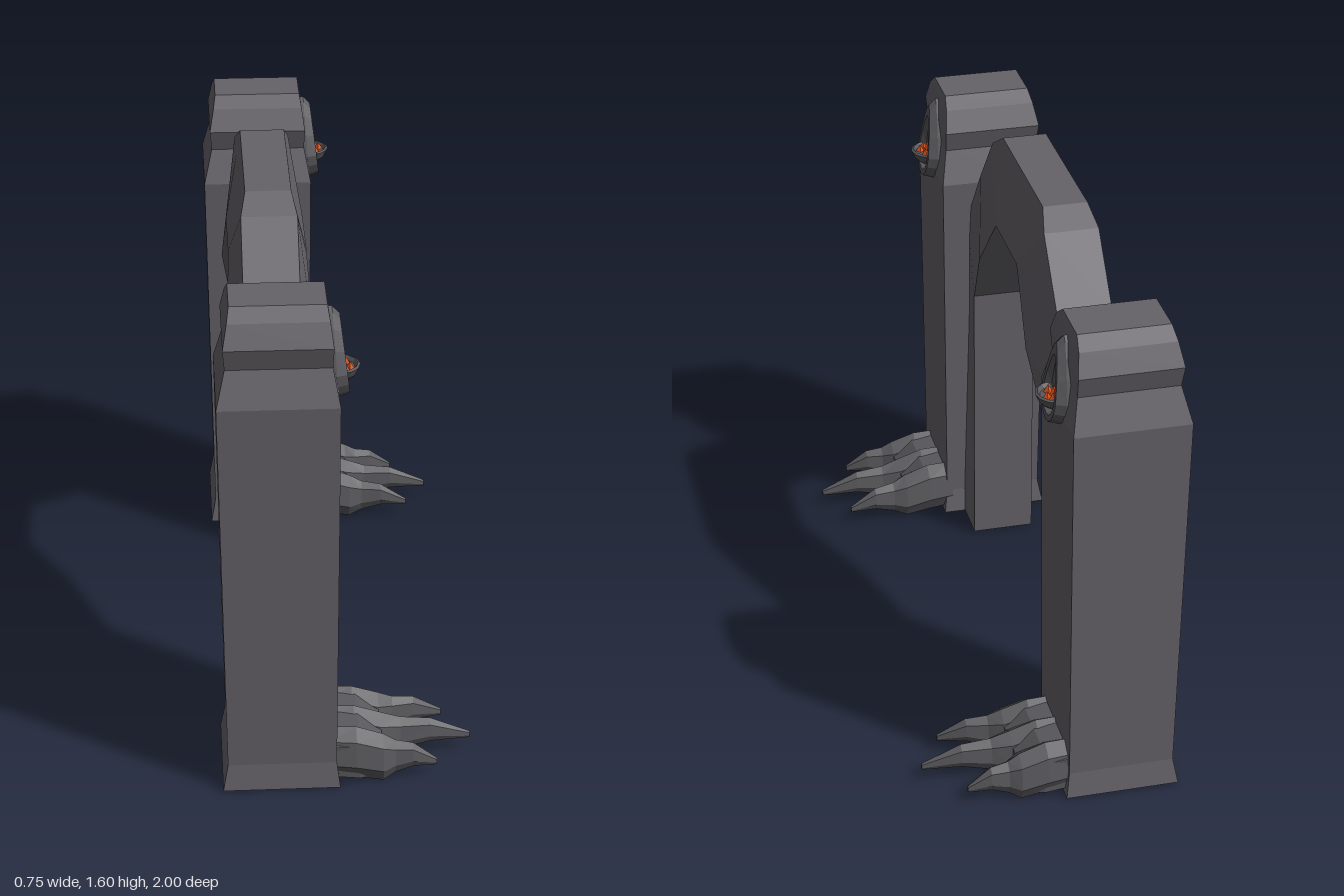
import * as THREE from 'three';

const V = (x, y, z) => new THREE.Vector3(x, y, z);

// Closed solid through cross-section loops; winding is corrected so faces point outward.
function loft(sections) {
  const tris = [];
  const n = sections[0].length;
  for (let i = 0; i < sections.length - 1; i++) {
    const a = sections[i], b = sections[i + 1];
    for (let j = 0; j < n; j++) {
      const k = (j + 1) % n;
      tris.push([a[j], a[k], b[k]], [a[j], b[k], b[j]]);
    }
  }
  const first = sections[0], last = sections[sections.length - 1];
  for (let j = 1; j < n - 1; j++) {
    tris.push([first[0], first[j + 1], first[j]], [last[0], last[j], last[j + 1]]);
  }
  const c = first[0];
  let volume = 0;
  for (const [p, q, r] of tris) {
    volume += p.clone().sub(c).dot(q.clone().sub(c).cross(r.clone().sub(c)));
  }
  const pos = [];
  for (const [p, q, r] of tris) {
    for (const v of volume < 0 ? [p, r, q] : [p, q, r]) pos.push(v.x, v.y, v.z);
  }
  const geo = new THREE.BufferGeometry();
  geo.setAttribute('position', new THREE.Float32BufferAttribute(pos, 3));
  geo.computeVertexNormals();
  return geo;
}

export function createModel() {
  const stone = new THREE.MeshStandardMaterial({ color: 0x656268 });
  stone.name = 'stone';
  const carved = new THREE.MeshStandardMaterial({ color: 0x59595d });
  carved.name = 'carvedStone';
  const ember = new THREE.MeshStandardMaterial({ color: 0xdd5520 });
  ember.name = 'ember';

  const model = new THREE.Group();
  model.name = 'gateway';
  const add = (parent, name, geo, mat) => {
    const mesh = new THREE.Mesh(geo, mat);
    mesh.name = name;
    parent.add(mesh);
    return mesh;
  };

  // Arch: [inner z, y, half width, outer z, y, half width] for one half, then mirrored
  const half = [
    [0.5, 0.01, 0.1, 0.7, 0.01, 0.1],
    [0.5, 0.92, 0.1, 0.7, 1.11, 0.075],
    [0.3, 1.16, 0.13, 0.48, 1.365, 0.083],
    [0.14, 1.35, 0.118, 0.32, 1.55, 0.083],
    [0.125, 1.36, 0.118, 0.245, 1.6, 0.068],
  ];
  const archSection = ([zi, yi, wi, zo, yo, wo], s) => [
    V(-0.2 - wi, yi, s * zi), V(-0.2 + wi, yi, s * zi),
    V(-0.2 + wo, yo, s * zo), V(-0.2 - wo, yo, s * zo),
  ];
  add(model, 'arch', loft([
    ...half.map((h) => archSection(h, 1)),
    ...half.slice().reverse().map((h) => archSection(h, -1)),
  ]), stone);

  // Pillar outline by height: [y, back x, front x, half depth]
  const pillarRows = [
    [0.01, -0.375, -0.03, 0.18],
    [0.09, -0.36, -0.04, 0.166],
    [1.26, -0.376, -0.03, 0.18],
    [1.365, -0.35, -0.05, 0.138],
    [1.43, -0.355, -0.047, 0.155],
    [1.497, -0.342, -0.056, 0.122],
    [1.53, -0.335, -0.062, 0.077],
  ];

  // Teardrop loop on the front face, tilted back towards the top
  const teardrop = (scale, x, tilt) => Array.from({ length: 16 }, (_, i) => {
    const t = (i / 16) * Math.PI * 2, c = Math.cos(t);
    const y = scale * c * (c > 0 ? 0.18 : 0.095);
    const z = scale * 0.083 * Math.sin(t) * (c > 0 ? 1 - 0.45 * c : 1);
    return V(x - tilt * y, 1.31 + y, z);
  });

  // Claw sections: [x, centre y, half height, sideways blend to the tip, half width]
  const clawRows = [
    [-0.06, 0.1, 0.075, 0, 0.052],
    [0.02, 0.095, 0.077, 0, 0.058],
    [0.1, 0.075, 0.07, 0.1, 0.055],
    [0.16, 0.075, 0.05, 0.35, 0.034],
    [0.25, 0.08, 0.036, 0.65, 0.025],
    [0.37, 0.053, 0.01, 1, 0.006],
  ];
  // [base z, tip z, tip x], inner toe to outer toe
  const toes = [
    [-0.118, -0.15, 0.295],
    [-0.01, -0.02, 0.37],
    [0.105, 0.12, 0.26],
  ];

  for (const s of [1, -1]) {
    const tower = new THREE.Group();
    tower.name = s > 0 ? 'leftTower' : 'rightTower';
    tower.position.z = s * 0.82;
    model.add(tower);

    add(tower, 'pillar', loft(pillarRows.map(([y, x0, x1, d]) => [
      V(x0, y, -d), V(x1, y, -d), V(x1, y, d), V(x0, y, d),
    ])), stone);

    // Hooded niche with a recessed face
    add(tower, 'niche', loft([
      teardrop(1, -0.07, 0),
      teardrop(1, -0.035, 0.06),
      teardrop(0.88, -0.005, 0.12),
      teardrop(0.68, -0.005, 0.12),
      teardrop(0.58, -0.026, 0.02),
    ]), carved);

    // Fire bowl and embers
    const bowl = add(tower, 'bowl', new THREE.LatheGeometry([
      [0, -0.045], [0.028, -0.04], [0.046, -0.024], [0.057, 0], [0.05, 0.004], [0.042, -0.008], [0, -0.01],
    ].map(([r, y]) => new THREE.Vector2(r, y)), 12).toNonIndexed(), carved);
    bowl.geometry.computeVertexNormals();
    bowl.position.set(-0.022, 1.31, 0);
    bowl.scale.z = 1.1;
    [[0, -0.022, 0.026], [-0.01, 0.004, 0.036], [0.012, 0.014, 0.024], [-0.002, 0.03, 0.028]].forEach(([x, z, h]) => {
      const geo = new THREE.ConeGeometry(0.015, h, 4).toNonIndexed();
      geo.computeVertexNormals();
      add(tower, 'embers', geo, ember).position.set(x - 0.008, 1.3 + h / 2, s * z);
    });

    // Clawed foot
    const foot = new THREE.Group();
    foot.name = 'clawedFoot';
    tower.add(foot);
    for (const [z0, z1, tipX] of toes) {
      add(foot, 'claw', loft(clawRows.map(([x, y, h, k, w]) => {
        const px = x > 0.1 ? 0.1 + (x - 0.1) * (tipX - 0.1) / 0.27 : x;
        const pz = z0 + (z1 - z0) * k;
        return [[-1, -0.4], [-0.6, -1], [0.6, -1], [1, -0.4], [0.75, 0.6], [0, 1], [-0.75, 0.6]]
          .map(([a, b]) => V(px, y + b * h, s * (pz + a * w)));
      })), carved);
    }
    // Palm joining the claws
    add(foot, 'palm', loft([[-0.06, 0.03, 0.165, 0.15], [0.03, 0.02, 0.155, 0.15], [0.1, 0.02, 0.11, 0.13]]
      .map(([x, y0, y1, w]) => [
        V(x, y0, -w), V(x, y0, w), V(x, y1 - 0.03, w), V(x, y1, w - 0.04), V(x, y1, -w + 0.04), V(x, y1 - 0.03, -w),
      ])), carved);
  }
  return model;
}
